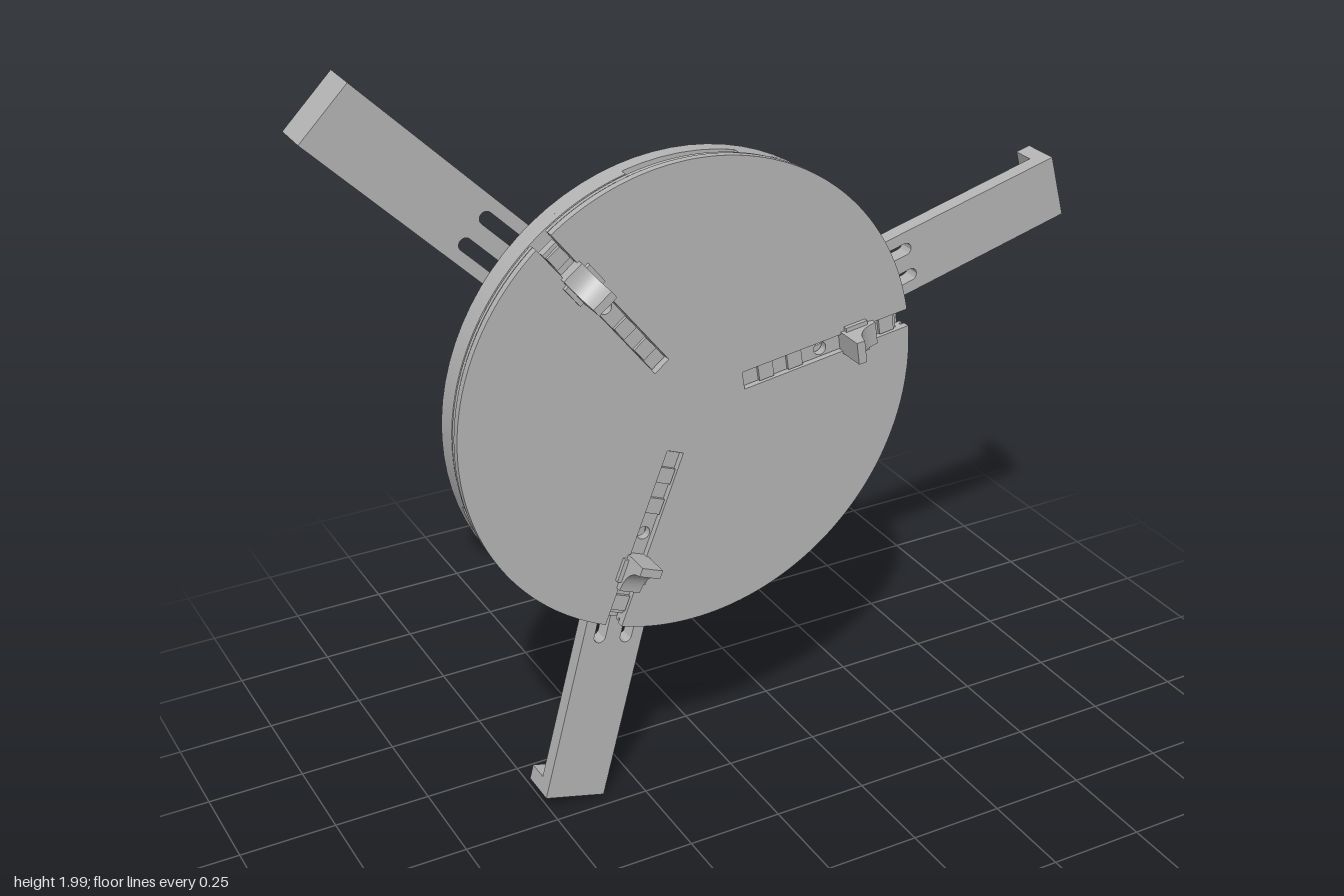
import * as THREE from 'three';
import { toCreasedNormals } from 'three/addons/utils/BufferGeometryUtils.js';

const grey = new THREE.MeshStandardMaterial({ color: 0xb4b4b4 });
grey.name = 'grey';

const ARM_ANGLES = [15, 135, 255].map(THREE.MathUtils.degToRad);
const TURN = (Math.PI * 2) / 3;
const rad = THREE.MathUtils.degToRad;

// Extrude a shape between two depths, keeping edges sharp and curves smooth
function slab(name, shape, z0, z1, segments = 40) {
  const geo = new THREE.ExtrudeGeometry(shape, { depth: z1 - z0, bevelEnabled: false, curveSegments: segments });
  geo.translate(0, 0, z0);
  const mesh = new THREE.Mesh(toCreasedNormals(geo, 0.5), grey);
  mesh.name = name;
  return mesh;
}

function box(name, x0, x1, y0, y1, z0, z1) {
  const mesh = new THREE.Mesh(new THREE.BoxGeometry(x1 - x0, y1 - y0, z1 - z0), grey);
  mesh.position.set((x0 + x1) / 2, (y0 + y1) / 2, (z0 + z1) / 2);
  mesh.name = name;
  return mesh;
}

function circle(r, hole) {
  const s = new THREE.Shape().absarc(0, 0, r, 0, Math.PI * 2, false);
  if (hole) s.holes.push(new THREE.Path().absarc(0, 0, hole, 0, Math.PI * 2, true));
  return s;
}

// Rounded slot along a direction, offset sideways
function slot(r0, r1, offset, half, angle = 0) {
  const c = Math.cos(angle), s = Math.sin(angle);
  const at = (x, y) => [x * c - y * s, x * s + y * c];
  const p = new THREE.Path();
  const [ax, ay] = at(r0 + half, offset), [bx, by] = at(r1 - half, offset);
  p.absarc(ax, ay, half, angle + Math.PI / 2, angle + Math.PI * 1.5, false);
  p.absarc(bx, by, half, angle - Math.PI / 2, angle + Math.PI / 2, false);
  p.closePath();
  return p;
}

// Disc with three straight radial slots open at the rim
function slottedDisc(R, inner, half) {
  const s = new THREE.Shape();
  const d = Math.asin(half / R);
  for (let k = 0; k < 3; k++) {
    const a = rad(8) + k * TURN, c = Math.cos(a), n = Math.sin(a);
    const corner = side => [inner * c - side * half * n, inner * n + side * half * c];
    if (k === 0) s.moveTo(...corner(-1)); else s.lineTo(...corner(-1));
    s.lineTo(...corner(1));
    s.absarc(0, 0, R, a + d, a + TURN - d, false);
  }
  s.closePath();
  return s;
}

// Disc with three shallow arc recesses in its rim
function recessedDisc(R, inner, half) {
  const s = new THREE.Shape();
  for (let k = 0; k < 3; k++) {
    const a = rad(90) + k * TURN;
    s.absarc(0, 0, inner, a - half, a + half, false);
    s.absarc(0, 0, R, a + half, a + TURN - half, false);
  }
  s.closePath();
  return s;
}

export function createModel() {
  const model = new THREE.Group();
  const body = new THREE.Group();
  body.name = 'clampBody';
  body.position.set(-0.135, 1.13, 0);
  model.add(body);

  // Slotted front plate with a groove round the rim
  body.add(slab('frontPlate', slottedDisc(0.6, 0.135, 0.023), 0.046, 0.065));
  body.add(slab('frontPlateGroove', slottedDisc(0.588, 0.135, 0.023), 0.04, 0.046));
  body.add(slab('frontPlateBacking', slottedDisc(0.597, 0.135, 0.023), 0.03, 0.04));

  // Back plate, pierced behind the arm slots
  const withSlots = shape => {
    for (const a of ARM_ANGLES)
      for (const o of [-0.037, 0.037]) shape.holes.push(slot(0.3, 0.49, o, 0.016, a));
    return shape;
  };
  body.add(slab('backPlate', withSlots(circle(0.594)), -0.04, 0));
  body.add(slab('backPlateRim', withSlots(recessedDisc(0.594, 0.52, rad(14))), 0, 0.02));

  // Raised ring and hub on the back
  body.add(slab('backRing', circle(0.495, 0.46), -0.079, -0.04));
  body.add(slab('hub', circle(0.1, 0.072), -0.079, -0.04));
  body.add(slab('hubBush', circle(0.055, 0.035), -0.072, -0.04));

  // Spokes between the arms
  for (let k = 0; k < 3; k++) {
    const g = new THREE.Group();
    g.name = 'spoke';
    g.rotation.z = rad(75) + k * TURN;
    g.add(box('spokeRib', 0.09, 0.47, -0.022, 0.022, -0.075, -0.04));
    body.add(g);
  }

  // Slotted arms with a lip at the tip
  const armShape = new THREE.Shape([[0.27, -0.083], [1.144, -0.083], [1.144, 0.083], [0.27, 0.083]]
    .map(p => new THREE.Vector2(...p)));
  armShape.holes.push(slot(0.3, 0.7, -0.037, 0.016), slot(0.3, 0.7, 0.037, 0.016));
  for (const a of ARM_ANGLES) {
    const g = new THREE.Group();
    g.name = 'arm';
    g.rotation.z = a;
    g.add(slab('armPlate', armShape, -0.082, -0.041, 12));
    g.add(box('armLip', 1.104, 1.144, -0.083, 0.083, -0.14, -0.082));
    body.add(g);
  }

  // Sliding bars with a hooked jaw
  const barShape = new THREE.Shape([[0.14, -0.021], [0.57, -0.021], [0.57, 0.021], [0.14, 0.021]]
    .map(p => new THREE.Vector2(...p)));
  barShape.holes.push(new THREE.Path().absarc(0.355, 0, 0.017, 0, Math.PI * 2, true));
  const jawShape = new THREE.Shape();
  jawShape.moveTo(0.41, 0.05);
  jawShape.lineTo(0.5, 0.05);
  jawShape.lineTo(0.5, 0.08);
  jawShape.quadraticCurveTo(0.44, 0.085, 0.432, 0.14);
  jawShape.lineTo(0.41, 0.14);
  jawShape.closePath();
  for (let k = 0; k < 3; k++) {
    const g = new THREE.Group();
    g.name = 'slider';
    g.rotation.z = rad(8) + k * TURN;
    g.add(slab('sliderBar', barShape, 0.031, 0.052, 12));
    for (const r of [0.17, 0.24, 0.42, 0.49])
      g.add(box('sliderTooth', r, r + 0.03, -0.02, 0.02, 0.02, 0.032));
    for (const r of [0.18, 0.26, 0.52])
      g.add(box('sliderStep', r, r + 0.04, -0.02, 0.02, 0.05, 0.06));
    const jaw = slab('jaw', jawShape, -0.029, 0.029, 10);
    jaw.geometry.rotateX(Math.PI / 2);
    g.add(jaw);
    g.add(box('jawFlange', 0.42, 0.48, -0.04, 0.04, 0.064, 0.076));
    body.add(g);
  }
  return model;
}
